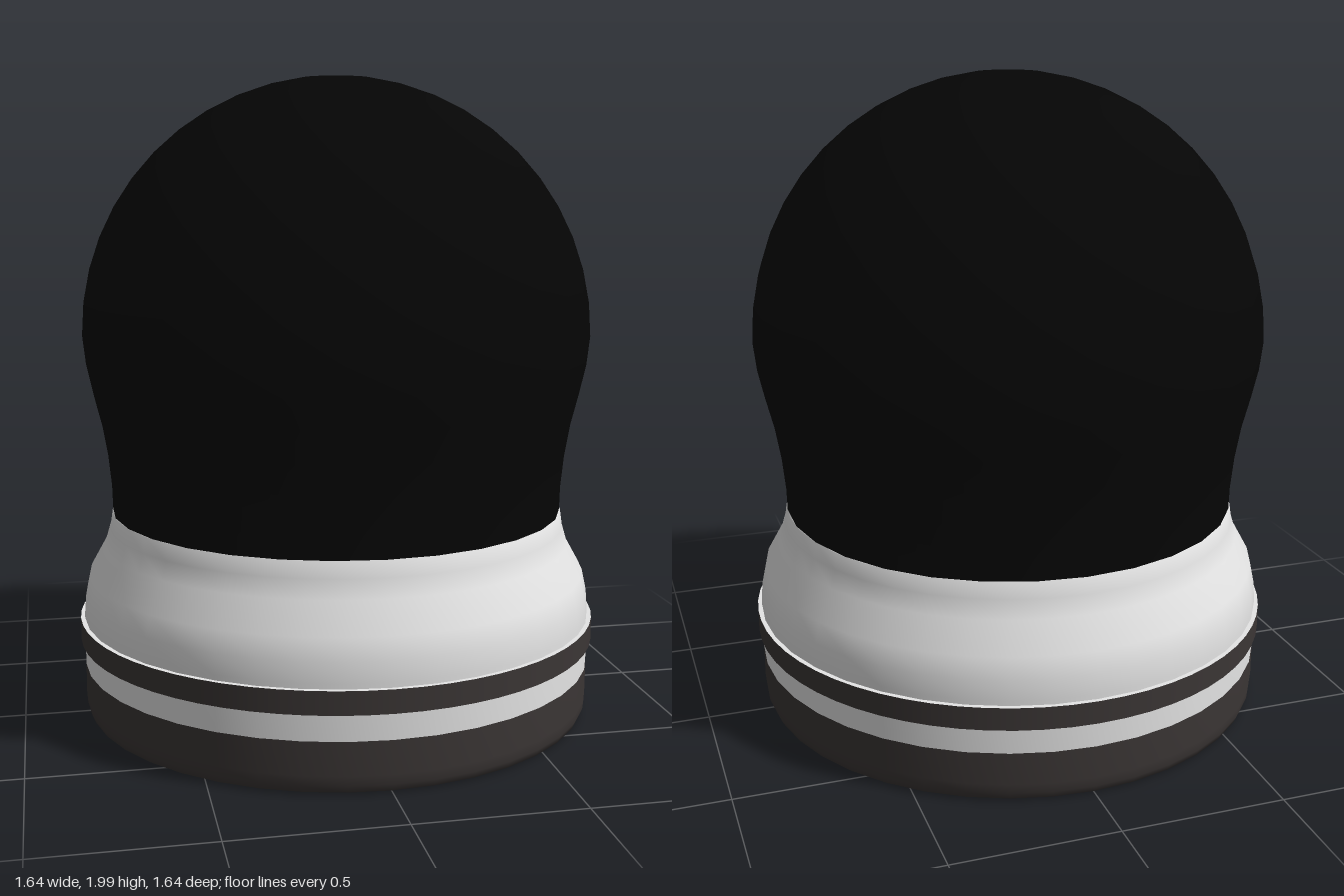
import * as THREE from 'three';

const material = (name, color) => {
  const m = new THREE.MeshStandardMaterial({ color });
  m.name = name;
  return m;
};

export function createModel() {
  const group = new THREE.Group();
  group.name = 'domedShaker';
  const black = material('black', 0x050505);
  const white = material('white', 0xe4e4e4);
  const dark = material('darkGrey', 0x3b3635);

  // Revolve a profile of [radius, height] points, listed from bottom to top
  const turned = (name, profile, mat, sides) => {
    const points = profile.map(([r, y]) => new THREE.Vector2(r, y));
    const mesh = new THREE.Mesh(new THREE.LatheGeometry(points, sides), mat);
    mesh.name = name;
    group.add(mesh);
    return mesh;
  };

  // Dome: waisted neck running into a round top
  const dome = [[0.712, 0.64], [0.714, 0.72], [0.724, 0.82], [0.741, 0.92], [0.766, 1.02], [0.786, 1.11]];
  for (let i = 0; i <= 12; i++) {
    const a = (i / 12) * Math.PI / 2;
    dome.push([i === 12 ? 0 : 0.796 * Math.cos(a), 1.2 + 0.8 * Math.sin(a)]);
  }
  turned('dome', dome, black, 30);

  // Light collar with a sloped shoulder
  turned('collar', [
    [0.807, 0.165], [0.807, 0.33], [0.802, 0.39], [0.788, 0.455],
    [0.738, 0.545], [0.722, 0.6], [0.715, 0.649], [0.7, 0.649],
  ], white, 40);

  // Dark foot: rounded outer edge and a rim around the recessed underside
  turned('foot', [
    [0.768, 0.055], [0.772, 0.02], [0.782, 0.008], [0.795, 0.014],
    [0.804, 0.035], [0.807, 0.065], [0.807, 0.165],
  ], dark, 40);
  const bottom = new THREE.Mesh(new THREE.CircleGeometry(0.769, 40), dark);
  bottom.name = 'bottom';
  bottom.rotation.x = Math.PI / 2;
  bottom.position.y = 0.055;
  group.add(bottom);

  // Raised band with a light upper lip
  turned('band', [[0.82, 0.245], [0.82, 0.315]], dark, 64);
  turned('bandUnderside', [[0.8, 0.245], [0.82, 0.245]], dark, 64);
  turned('bandLip', [[0.82, 0.315], [0.8, 0.315]], white, 64);

  return group;
}
